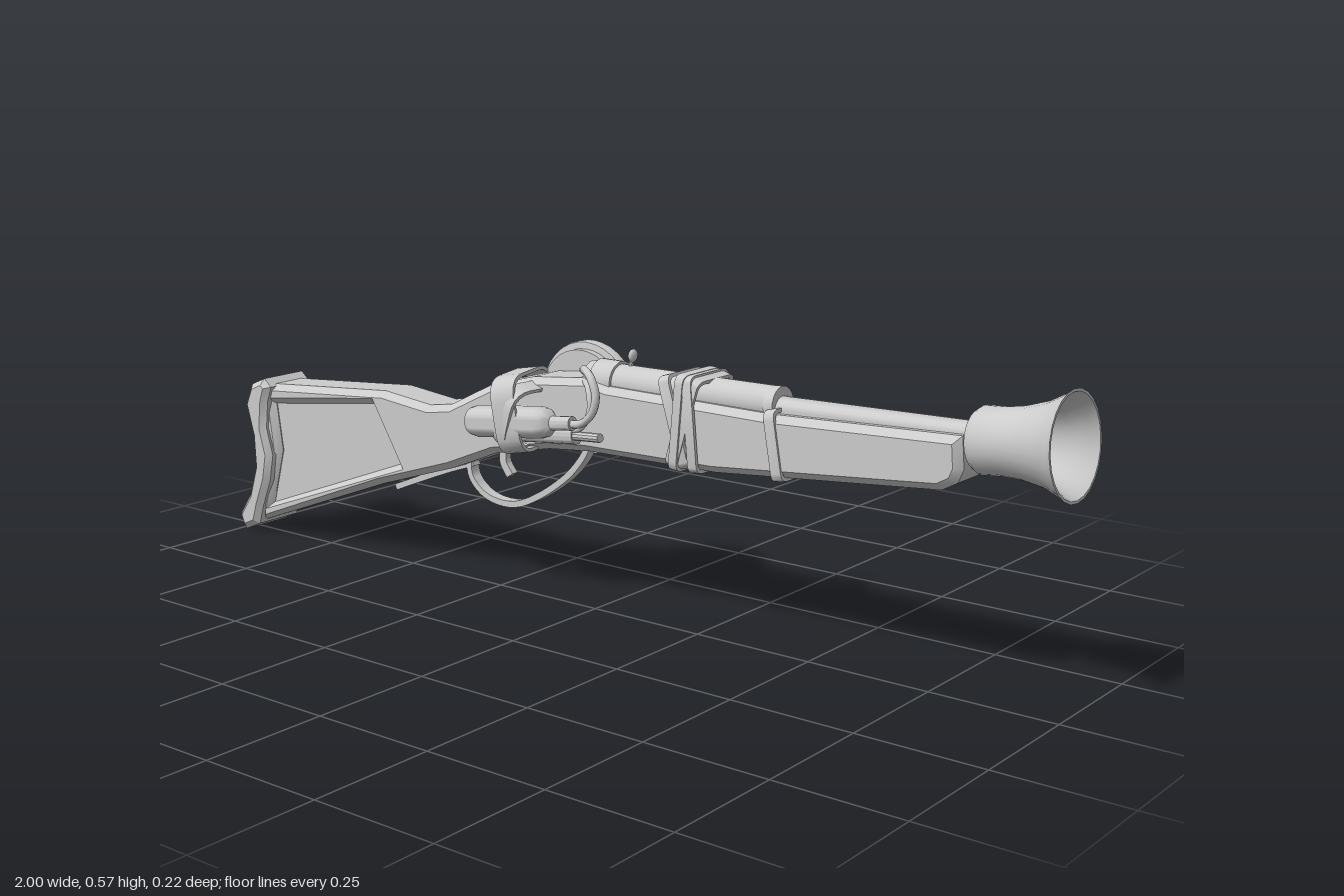
import * as THREE from 'three';
import { toCreasedNormals } from 'three/addons/utils/BufferGeometryUtils.js';

const ZC = -0.019; // centre plane of the gun
const grey = new THREE.MeshStandardMaterial({ color: 0xcccccc });
const greyDouble = new THREE.MeshStandardMaterial({ color: 0xcccccc, side: THREE.DoubleSide });
const vec2 = (pts) => pts.map(([x, y]) => new THREE.Vector2(x, y));
const vec3 = (pts) => pts.map((p) => new THREE.Vector3(...p));

export function createModel() {
  const model = new THREE.Group();

  function add(name, geometry, material = grey, parent = model) {
    const mesh = new THREE.Mesh(geometry, material);
    mesh.name = name;
    parent.add(mesh);
    return mesh;
  }

  // Side outline extruded symmetrically about z = zc, with chamfered edges
  function slab(name, outline, half, bevel, hole, zc = ZC) {
    const shape = new THREE.Shape(vec2(outline));
    if (hole) shape.holes.push(new THREE.Path(vec2(hole)));
    const g = new THREE.ExtrudeGeometry(shape, {
      depth: 2 * (half - bevel), bevelEnabled: bevel > 0, bevelThickness: bevel,
      bevelSize: bevel, bevelOffset: -bevel, bevelSegments: 1,
    });
    g.translate(0, 0, zc - half + bevel);
    return add(name, toCreasedNormals(g, 0.5));
  }

  // Flat strip following a curve in the side plane
  function ribbon(name, pts, thick, width) {
    const curve = new THREE.SplineCurve(vec2(pts));
    const n = 32, a = [], b = [];
    for (let i = 0; i <= n; i++) {
      const p = curve.getPoint(i / n), t = curve.getTangent(i / n);
      a.push([p.x - t.y * thick / 2, p.y + t.x * thick / 2]);
      b.unshift([p.x + t.y * thick / 2, p.y - t.x * thick / 2]);
    }
    return slab(name, [...a, ...b], width / 2, 0);
  }

  // Rounded loop around the x axis, wrapped round the stock
  function roundRect(path, w, h, r) {
    path.moveTo(-w + r, -h).lineTo(w - r, -h).quadraticCurveTo(w, -h, w, -h + r)
      .lineTo(w, h - r).quadraticCurveTo(w, h, w - r, h)
      .lineTo(-w + r, h).quadraticCurveTo(-w, h, -w, h - r)
      .lineTo(-w, -h + r).quadraticCurveTo(-w, -h, -w + r, -h);
    return path;
  }
  function band(name, x, y, z, halfZ, halfY, radius, width, tilt = 0, twist = 0) {
    const t = 0.007;
    const shape = roundRect(new THREE.Shape(), halfZ, halfY, radius);
    shape.holes.push(roundRect(new THREE.Path(), halfZ - t, halfY - t, radius - t * 0.6));
    const g = new THREE.ExtrudeGeometry(shape, { depth: width, bevelEnabled: false, curveSegments: 5 });
    g.translate(0, 0, -width / 2).rotateY(Math.PI / 2);
    const m = add(name, toCreasedNormals(g, 0.6));
    m.position.set(x, y, z);
    m.rotation.set(0, twist, tilt);
  }

  // Turned part along a line: profile of [radius, distance]
  function turned(name, from, to, profile, segments = 20, material = greyDouble) {
    const a = new THREE.Vector3(...from), d = new THREE.Vector3(...to).sub(a).normalize();
    const g = new THREE.LatheGeometry(vec2(profile), segments);
    const m = add(name, toCreasedNormals(g, 0.7), material);
    m.position.copy(a);
    m.quaternion.setFromUnitVectors(new THREE.Vector3(0, 1, 0), d);
    return m;
  }
  const rod = (name, from, to, r, seg = 14) => {
    const len = new THREE.Vector3(...from).distanceTo(new THREE.Vector3(...to));
    return turned(name, from, to, [[0, 0], [r, 0], [r, len], [0, len]], seg);
  };
  const tube = (name, pts, r) =>
    add(name, new THREE.TubeGeometry(new THREE.CatmullRomCurve3(vec3(pts)), 40, r, 8));

  // Wooden stock with a recessed panel on each side of the butt
  const panel = [[-0.89, 0.305], [-0.585, 0.345], [-0.51, 0.225], [-0.91, 0.075], [-0.875, 0.2]];
  slab('stock', [
    [-0.94, 0.03], [-0.56, 0.175], [-0.36, 0.24], [-0.24, 0.29], [-0.1, 0.32], [0, 0.33],
    [0.3, 0.335], [0.77, 0.378], [0.8, 0.395], [0.81, 0.42], [0.805, 0.478], [0.42, 0.462],
    [0.05, 0.465], [0, 0.475], [-0.14, 0.46], [-0.25, 0.43], [-0.36, 0.375], [-0.42, 0.365],
    [-0.55, 0.378], [-0.92, 0.347], [-0.92, 0.2],
  ], 0.052, 0.014, panel);
  slab('stockPanel', [[-0.92, 0.32], [-0.57, 0.36], [-0.49, 0.22], [-0.93, 0.06], [-0.89, 0.2]], 0.036, 0);

  // Butt plate with a curved shoulder edge
  slab('buttPlate', [
    [-0.985, 0.004], [-0.94, 0.024], [-0.925, 0.07], [-0.9, 0.13], [-0.888, 0.19], [-0.905, 0.25],
    [-0.898, 0.31], [-0.885, 0.345], [-0.905, 0.362], [-0.945, 0.345], [-0.965, 0.3],
    [-0.945, 0.23], [-0.942, 0.16], [-0.965, 0.09], [-1, 0.04],
  ], 0.068, 0.012, null, -0.017);

  // Barrel in two steps, and the breech ring
  rod('rearBarrel', [-0.02, 0.468, ZC], [0.41, 0.472, ZC], 0.034, 20);
  rod('frontBarrel', [0.38, 0.46, ZC], [0.85, 0.47, ZC], 0.028, 20);
  rod('breechRing', [0, 0.468, ZC], [0.05, 0.468, ZC], 0.04, 20);
  rod('barrelCollar', [0.4, 0.47, ZC], [0.42, 0.471, ZC], 0.036, 20);

  // Flared muzzle, hollow with a narrow bore
  turned('muzzleBell', [0.815, 0.466, ZC], [0.992, 0.481, -0.017], [
    [0.03, 0], [0.052, 0], [0.06, 0.012], [0.059, 0.05], [0.063, 0.09], [0.074, 0.135],
    [0.088, 0.165], [0.096, 0.178], [0.091, 0.178], [0.082, 0.165], [0.067, 0.135],
    [0.054, 0.09], [0.046, 0.055], [0.036, 0.048], [0.027, 0.055], [0.027, 0.012], [0, 0.012],
  ], 24);

  // Trigger guard with its tail, and the trigger
  ribbon('triggerGuard', [[-0.34, 0.27], [-0.335, 0.22], [-0.29, 0.185], [-0.22, 0.18],
    [-0.15, 0.21], [-0.08, 0.26], [-0.04, 0.305], [-0.025, 0.335]], 0.013, 0.024);
  ribbon('guardTail', [[-0.555, 0.162], [-0.48, 0.193], [-0.4, 0.225], [-0.33, 0.25]], 0.013, 0.02);
  ribbon('trigger', [[-0.215, 0.32], [-0.245, 0.295], [-0.25, 0.265], [-0.232, 0.238]], 0.018, 0.016);

  // Round drum on the back side with a raised rim
  turned('drum', [-0.085, 0.408, -0.06], [-0.085, 0.408, -0.2], [
    [0, 0], [0.1, 0], [0.1, 0.016], [0.113, 0.018], [0.115, 0.024], [0.115, 0.038],
    [0.108, 0.045], [0.1, 0.044], [0.096, 0.038], [0, 0.038],
  ], 32);

  // Gas canister on the front side, with its nozzle
  turned('canister', [-0.268, 0.362, 0.07], [-0.04, 0.39, 0.07], [
    [0, 0], [0.017, 0.003], [0.028, 0.013], [0.032, 0.03], [0.032, 0.19],
    [0.028, 0.207], [0.017, 0.219], [0.012, 0.222], [0.012, 0.24], [0, 0.24],
  ], 20);
  rod('nozzle', [-0.05, 0.388, 0.07], [0.0, 0.394, 0.07], 0.014);
  rod('lowerCylinder', [-0.2, 0.345, 0.045], [-0.01, 0.365, 0.045], 0.018);
  rod('lowerValve', [-0.02, 0.364, 0.05], [0.06, 0.372, 0.06], 0.009, 10);

  // Pipe from the nozzle up to the breech
  tube('feedPipe', [[-0.02, 0.392, 0.07], [0.02, 0.396, 0.072], [0.05, 0.42, 0.074],
    [0.06, 0.455, 0.074], [0.045, 0.488, 0.07], [0.015, 0.497, 0.05], [-0.015, 0.487, 0.015],
    [-0.02, 0.475, ZC]], 0.008);
  tube('innerPipe', [[-0.03, 0.37, 0.05], [0.01, 0.385, 0.055], [0.03, 0.42, 0.055],
    [0.02, 0.455, 0.045], [-0.02, 0.47, 0.01]], 0.006);

  // Sight post with a small round head
  rod('sightPost', [0.07, 0.49, ZC], [0.076, 0.52, ZC], 0.005, 8);
  const head = add('sightHead', new THREE.SphereGeometry(0.013, 12, 8));
  head.position.set(0.077, 0.522, ZC);
  head.scale.set(0.5, 1, 1);

  // Straps holding the canister
  band('canisterStrap', -0.165, 0.39, 0.017, 0.09, 0.078, 0.05, 0.05, 0.16, 0.25);
  band('canisterStrap', -0.14, 0.385, 0.015, 0.09, 0.066, 0.045, 0.035, -0.3, -0.12);

  // Straps wound round the forestock, and the narrow end band
  [[0.215, 0.3, 0.024], [0.235, -0.28, 0.028], [0.255, 0.1, 0.02], [0.225, -0.08, 0.018]].forEach(
    ([x, tilt, w], i) => band('forestockStrap', x, 0.42, ZC, 0.058 + i * 0.002, 0.09 + i * 0.001, 0.02, w, tilt));
  band('forestockBand', 0.435, 0.406, ZC, 0.056, 0.066, 0.018, 0.022, 0.18);

  return model;
}
